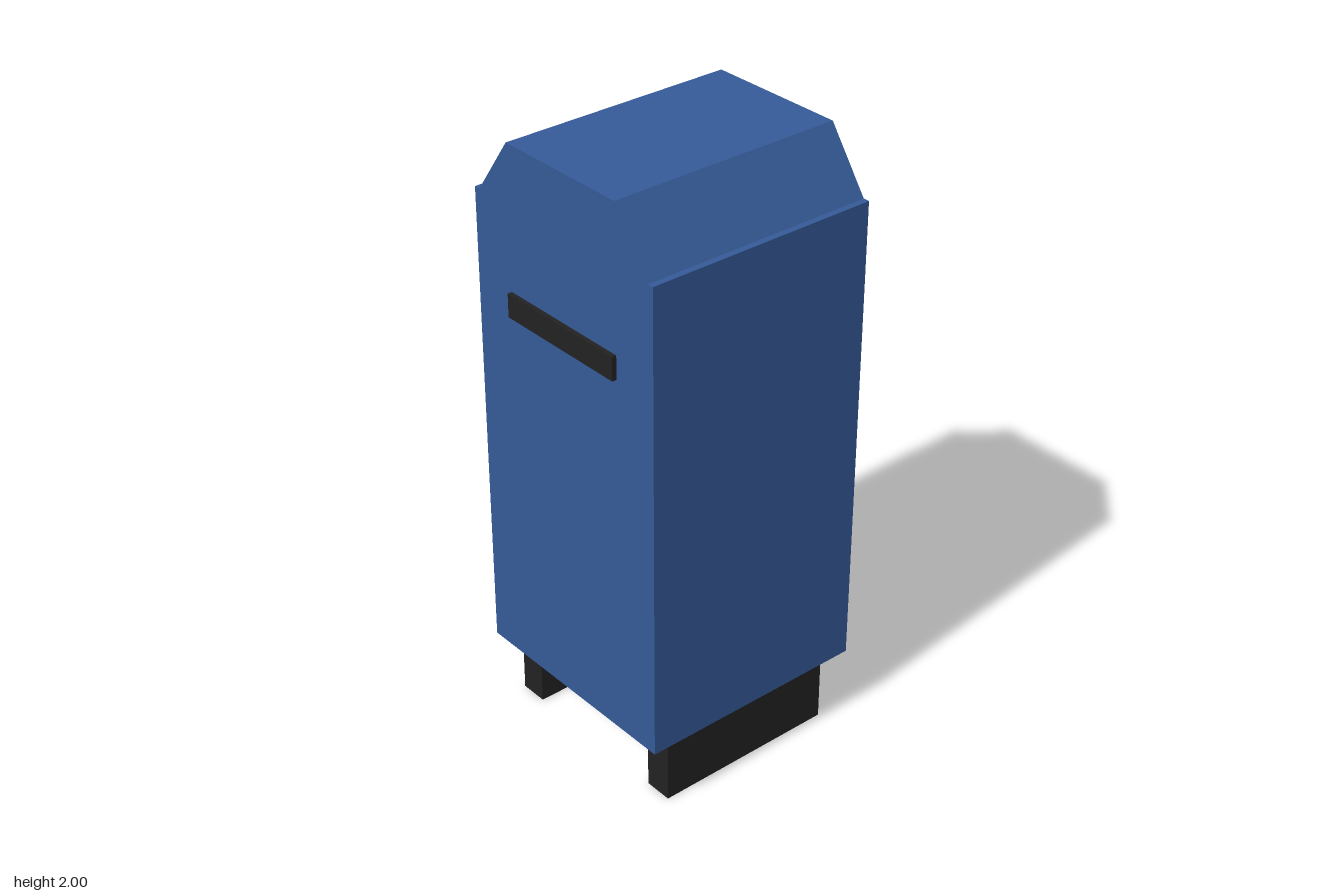
import * as THREE from 'three';

const blue = new THREE.MeshStandardMaterial({ name: 'blue paint', color: 0x355a98 });
const black = new THREE.MeshStandardMaterial({ name: 'black', color: 0x222222 });

const BACK = -0.4, FRONT = 0.385;

function addBox(group, name, material, size, position) {
  const mesh = new THREE.Mesh(new THREE.BoxGeometry(...size), material);
  mesh.name = name;
  mesh.position.set(...position);
  group.add(mesh);
}

export function createModel() {
  const group = new THREE.Group();
  group.name = 'mailbox';

  // Cabinet and bevelled top as one silhouette, with a narrow ledge at each shoulder
  const half = [[0.393, 0.236], [0.393, 1.81], [0.372, 1.81], [0.236, 2]];
  const outline = [...half, ...half.map(([x, y]) => [-x, y]).reverse()];
  const shape = new THREE.Shape(outline.map(([x, y]) => new THREE.Vector2(x, y)));
  const geometry = new THREE.ExtrudeGeometry(shape, { depth: FRONT - BACK, bevelEnabled: false });
  geometry.translate(0, 0, BACK);
  const body = new THREE.Mesh(geometry, blue);
  body.name = 'body';
  group.add(body);

  // Mail slot, standing just proud of the front
  addBox(group, 'mailSlot', black, [0.472, 0.077, 0.015], [0, 1.497, FRONT + 0.0075]);

  // Runner feet
  for (const [side, name] of [[1, 'leftFoot'], [-1, 'rightFoot']]) {
    addBox(group, name, black, [0.094, 0.236, 0.628], [side * 0.314, 0.118, -0.007]);
  }
  return group;
}
